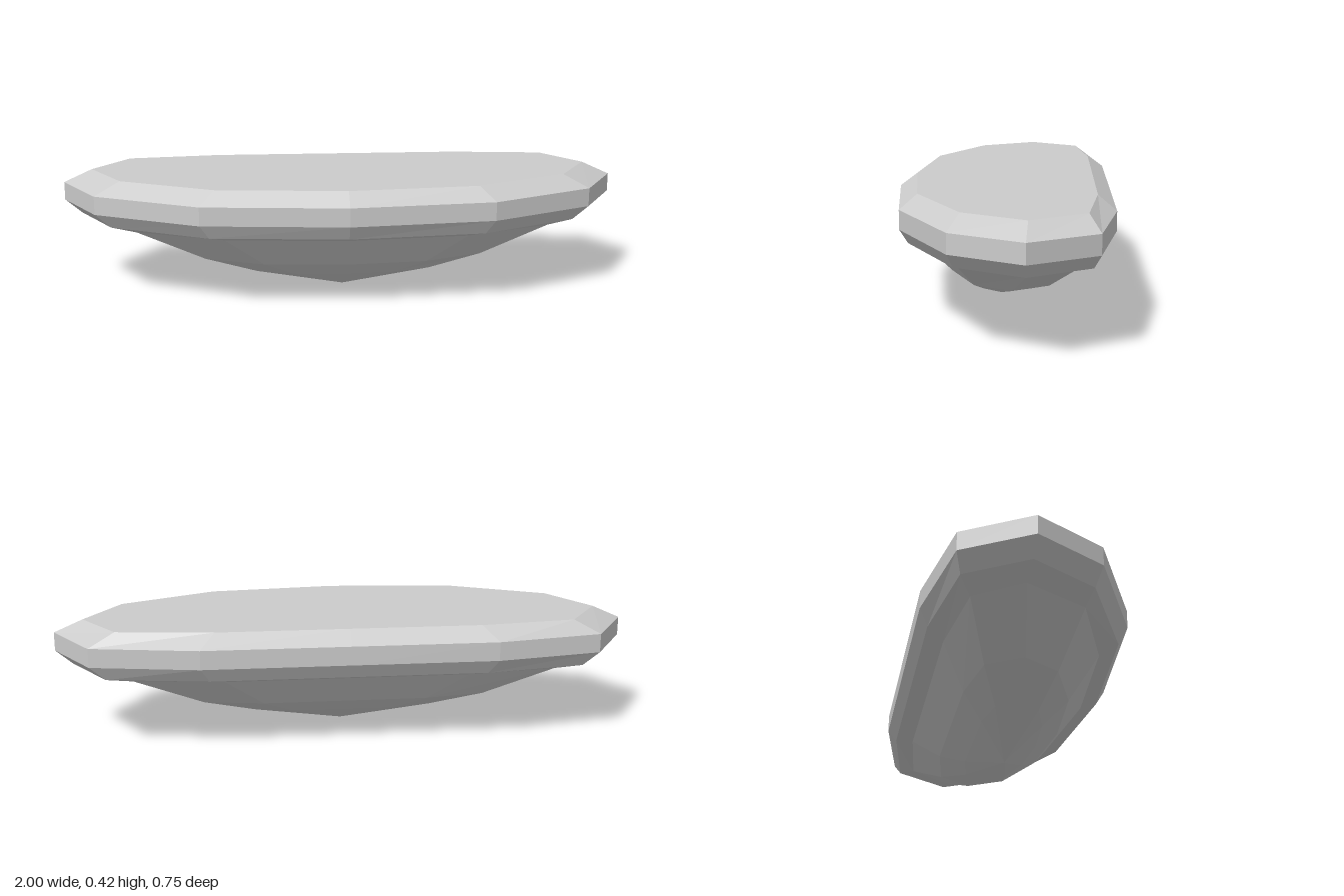
import * as THREE from 'three';

// Rings of 12 corners: height, half width, and depth z from front middle to back middle
const RINGS = {
  top:     { y: 0.42,  w: 0.90, z: [0.315, 0.27, 0.11, -0.095, -0.275, -0.315, -0.315] },
  beltTop: { y: 0.375, w: 1.00, z: [0.375, 0.325, 0.145, -0.09, -0.31, -0.375, -0.375] },
  beltLow: { y: 0.31,  w: 1.00, z: [0.375, 0.325, 0.145, -0.09, -0.31, -0.375, -0.375] },
  lip:     { y: 0.26,  w: 0.94, z: [0.345, 0.30, 0.13, -0.09, -0.29, -0.345, -0.345] },
  shoulder:{ y: 0.238, w: 0.84, z: [0.285, 0.245, 0.12, -0.09, -0.245, -0.285, -0.285] },
  middle:  { y: 0.127, w: 0.57, z: [0.195, 0.17, 0.085, -0.04, -0.16, -0.195, -0.195] },
  low:     { y: 0.07,  w: 0.36, z: [0.115, 0.10, 0.06, 0, -0.09, -0.115, -0.115] },
  tip:     { y: 0,     w: 0,    z: [0, 0, 0, 0, 0, 0, 0] },
};
const SIDES = 12;

function corner(ring, i) {
  const k = i % SIDES;
  const x = ring.w * Math.sin((k * Math.PI) / 6);
  return [x, ring.y, ring.z[k <= 6 ? k : SIDES - k]];
}

// Facets joining each ring to the next one below it
function band(names) {
  const pos = [];
  for (let r = 0; r < names.length - 1; r++) {
    const up = RINGS[names[r]], down = RINGS[names[r + 1]];
    for (let i = 0; i < SIDES; i++) {
      const a = corner(up, i), b = corner(up, i + 1);
      const c = corner(down, i), d = corner(down, i + 1);
      pos.push(...a, ...c, ...b);
      if (down.w > 0) pos.push(...b, ...c, ...d);
    }
  }
  return pos;
}

// Flat face closing the top
function cap(ring) {
  const pos = [];
  for (let i = 0; i < SIDES; i++) {
    pos.push(0, ring.y, 0, ...corner(ring, i), ...corner(ring, i + 1));
  }
  return pos;
}

export function createModel() {
  const group = new THREE.Group();
  group.name = 'cutGem';
  const material = new THREE.MeshStandardMaterial({ color: 0xcccccc, flatShading: true });

  const add = (name, pos) => {
    const geometry = new THREE.BufferGeometry();
    geometry.setAttribute('position', new THREE.Float32BufferAttribute(pos, 3));
    geometry.computeVertexNormals();
    const mesh = new THREE.Mesh(geometry, material);
    mesh.name = name;
    group.add(mesh);
  };

  add('table', cap(RINGS.top));
  add('crown', band(['top', 'beltTop']));
  add('girdle', band(['beltTop', 'beltLow']));
  add('lowerLip', band(['beltLow', 'lip', 'shoulder']));
  add('pavilion', band(['shoulder', 'middle', 'low', 'tip']));
  return group;
}
